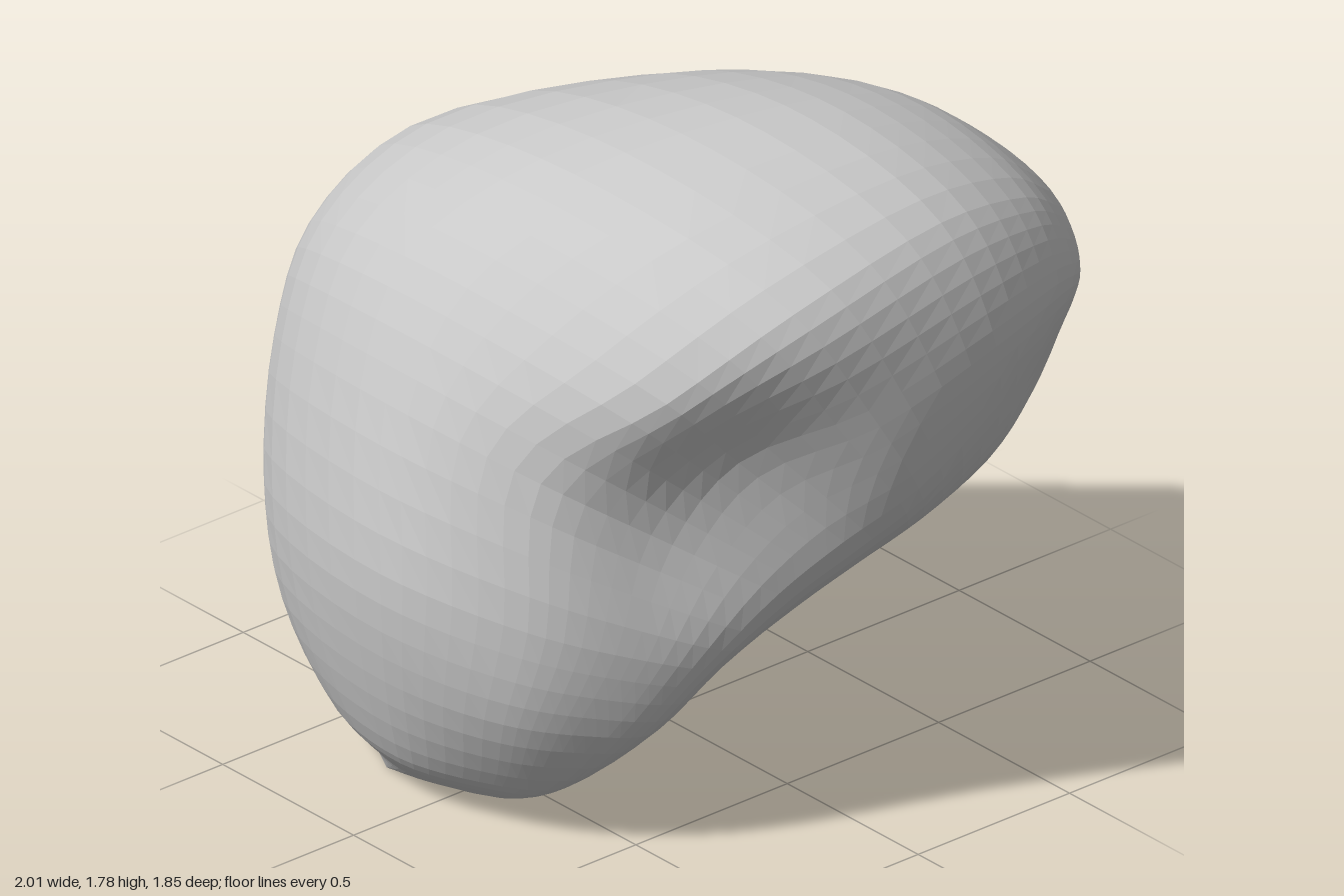
import * as THREE from 'three';

// Cross-sections fanned around an axis parallel to x; angle runs from +z towards +y.
const PIVOT = { y: 0.2, z: -0.5 };
// angle, inner r, outer r, crest x, then (x, r) of: left rim, right shoulder, right flank, right rim
const SECTIONS = [
  [-7, 1.06, 1.25, -0.1, -0.32, 1.15, 0.1, 1.2, 0.19, 1.16, 0.2, 1.13],
  [-3, 0.97, 1.31, -0.05, -0.51, 1.1, 0.22, 1.23, 0.33, 1.16, 0.36, 1.1],
  [8, 0.86, 1.41, 0, -0.74, 1.03, 0.35, 1.32, 0.5, 1.18, 0.57, 1.03],
  [20, 0.78, 1.52, 0.02, -0.87, 0.95, 0.43, 1.38, 0.6, 1.17, 0.67, 0.95],
  [35, 0.685, 1.62, -0.08, -0.97, 0.9, 0.42, 1.52, 0.62, 1.2, 0.77, 0.88],
  [47, 0.67, 1.69, -0.1, -1, 0.95, 0.7, 1.57, 0.73, 1.26, 0.86, 0.86],
  [60, 0.67, 1.715, 0.1, -0.97, 0.94, 0.86, 1.58, 0.95, 1.24, 0.95, 0.88],
  [78, 0.69, 1.615, 0.3, -0.64, 0.91, 0.87, 1.5, 1, 1.22, 0.96, 0.94],
  [92, 0.76, 1.475, 0.3, -0.36, 0.96, 0.78, 1.38, 0.91, 1.19, 0.87, 0.97],
  [101, 0.84, 1.35, 0.3, -0.18, 0.97, 0.68, 1.27, 0.79, 1.14, 0.76, 1.01],
  [106, 0.9, 1.28, 0.3, -0.07, 1.01, 0.56, 1.23, 0.65, 1.12, 0.63, 1.02],
  [110, 1, 1.22, 0.28, 0.04, 1.09, 0.43, 1.19, 0.5, 1.13, 0.48, 1.07],
];
// angle, x, r of the two ends
const LOWER_TIP = [-9.5, -0.22, 1.217];
const BACK_END = [112, 0.27, 1.135];
const AROUND = 54;
const ALONG = 52;
const mix = THREE.MathUtils.lerp;

function fanPoint(angle, x, r) {
  const a = THREE.MathUtils.degToRad(angle);
  return new THREE.Vector3(x, PIVOT.y + r * Math.sin(a), PIVOT.z + r * Math.cos(a));
}

// Closed smooth outline of one section, slightly hollow underneath
function sectionRing([angle, rIn, rOut, xT, xL, rL, xS, rS, xF, rF, xR, rR]) {
  const xB = (xL + xR) / 2;
  const outline = [
    [xL, rL],
    [mix(xT, xL, 0.72), mix(rL, rOut, 0.68)],
    [xT, rOut],
    [xS, rS],
    [xF, rF],
    [xR, rR],
    [mix(xB, xR, 0.82), mix(rR, rIn, 0.9)],
    [xB, mix(rIn, rOut, 0.015)],
    [mix(xB, xL, 0.82), mix(rL, rIn, 0.9)],
  ].map(([x, r]) => fanPoint(angle, x, r));
  const curve = new THREE.CatmullRomCurve3(outline, true);
  return Array.from({ length: AROUND }, (_, j) => curve.getPoint(j / AROUND));
}

function bodyGeometry() {
  const rings = SECTIONS.map(sectionRing);
  const start = fanPoint(...LOWER_TIP);
  const end = fanPoint(...BACK_END);
  // Smooth lines running from the lower tip to the back end
  const lines = Array.from({ length: AROUND }, (_, j) =>
    new THREE.CatmullRomCurve3([start, ...rings.map((ring) => ring[j]), end]));

  const positions = [];
  for (let i = 0; i <= ALONG; i++) {
    for (const line of lines) positions.push(...line.getPoint(i / ALONG).toArray());
  }

  const index = [];
  for (let i = 0; i < ALONG; i++) {
    for (let j = 0; j < AROUND; j++) {
      const k = (j + 1) % AROUND;
      const a = i * AROUND + j, b = i * AROUND + k;
      const c = a + AROUND, d = b + AROUND;
      if (i > 0) index.push(a, b, c);
      if (i < ALONG - 1) index.push(b, d, c);
    }
  }

  const indexed = new THREE.BufferGeometry();
  indexed.setAttribute('position', new THREE.Float32BufferAttribute(positions, 3));
  indexed.setIndex(index);

  // Separate faces for a finely faceted surface
  const geometry = indexed.toNonIndexed();
  geometry.computeVertexNormals();
  return geometry;
}

export function createModel() {
  const group = new THREE.Group();
  group.name = 'curvedStone';
  const grey = new THREE.MeshStandardMaterial({ color: 0xc8c8c8 });
  grey.name = 'light grey';
  const body = new THREE.Mesh(bodyGeometry(), grey);
  body.name = 'body';
  group.add(body);
  return group;
}
